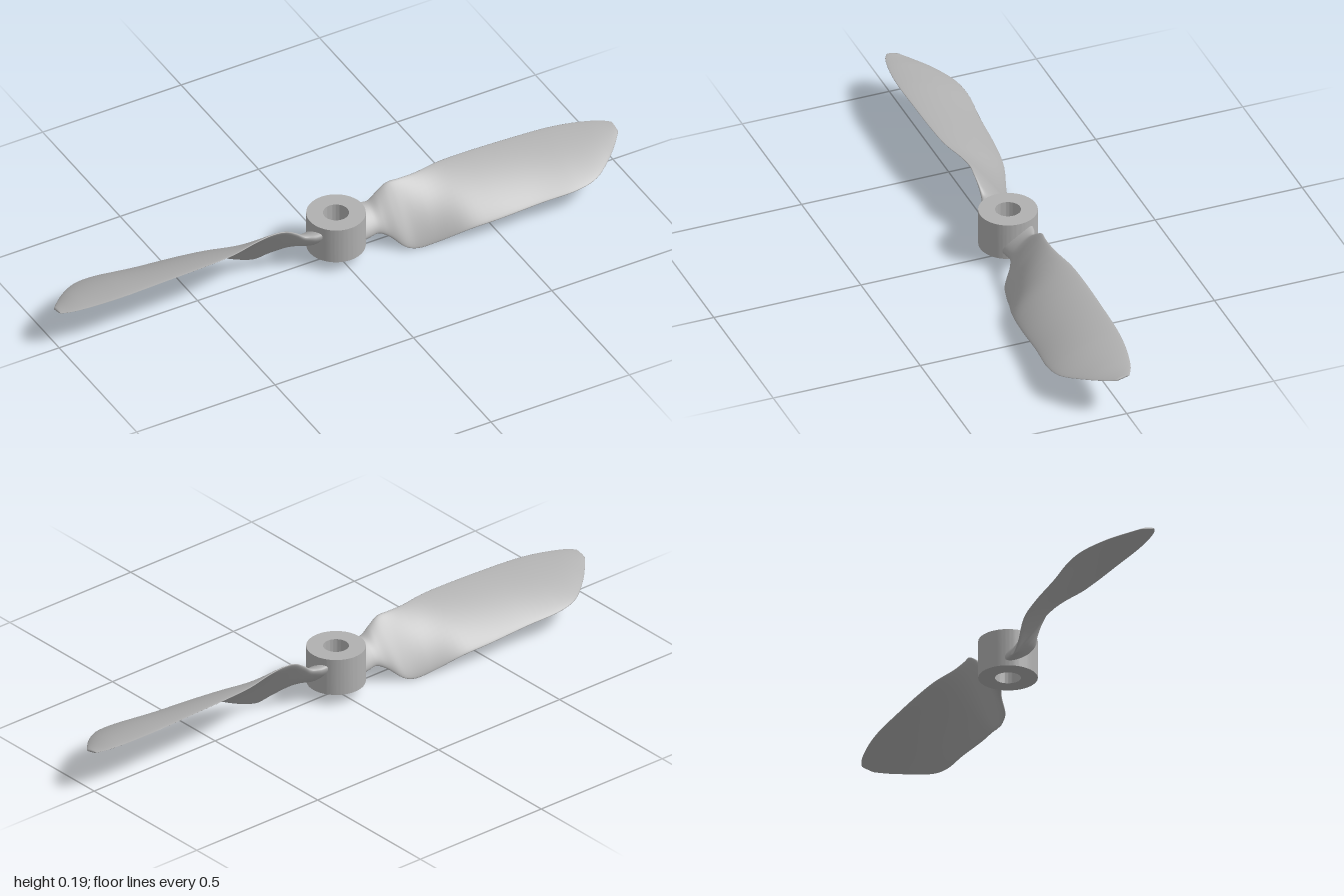
import * as THREE from 'three';
import { toCreasedNormals } from 'three/addons/utils/BufferGeometryUtils.js';

// Blade stations: x, back edge z y, front edge z y, half thickness, camber
const STATIONS = [
  [0.06, -0.052, 0.142, 0.052, 0.060, 0.026, 0],
  [0.10, -0.048, 0.137, 0.046, 0.062, 0.022, 0],
  [0.13, -0.036, 0.140, 0.044, 0.064, 0.017, 0],
  [0.16, -0.034, 0.163, 0.058, 0.050, 0.013, 0.001],
  [0.20, -0.036, 0.187, 0.092, 0.016, 0.010, 0.003],
  [0.24, -0.032, 0.190, 0.102, 0.003, 0.009, 0.006],
  [0.30, -0.036, 0.187, 0.117, 0.014, 0.008, 0.010],
  [0.40, -0.055, 0.183, 0.148, 0.048, 0.007, 0.013],
  [0.50, -0.060, 0.180, 0.161, 0.060, 0.007, 0.014],
  [0.65, -0.060, 0.175, 0.168, 0.073, 0.006, 0.014],
  [0.78, -0.058, 0.169, 0.178, 0.084, 0.006, 0.013],
  [0.85, -0.052, 0.164, 0.165, 0.094, 0.005, 0.011],
  [0.92, -0.040, 0.157, 0.118, 0.112, 0.005, 0.007],
  [0.97, -0.026, 0.151, 0.070, 0.125, 0.004, 0.003],
  [1.00, -0.010, 0.146, 0.035, 0.135, 0.003, 0.001],
];

// Lofts a cambered lens section along the two blade edges
function bladeGeometry() {
  const curve = (f) => new THREE.CatmullRomCurve3(STATIONS.map(f));
  const back = curve((s) => new THREE.Vector3(s[0], s[2], s[1]));
  const front = curve((s) => new THREE.Vector3(s[0], s[4], s[3]));
  const rows = (STATIONS.length - 1) * 5, ring = 36;
  const pos = [], index = [];
  for (let i = 0; i <= rows; i++) {
    const u = i / rows, k = u * (STATIONS.length - 1);
    const n = Math.min(Math.floor(k), STATIONS.length - 2);
    const mix = (c) => THREE.MathUtils.lerp(STATIONS[n][c], STATIONS[n + 1][c], k - n);
    const b = back.getPoint(u), chord = front.getPoint(u).sub(b);
    const up = new THREE.Vector3(0, chord.z, -chord.y).normalize();
    for (let j = 0; j < ring; j++) {
      const a = (j / ring) * Math.PI * 2, s = 0.5 - 0.5 * Math.cos(a);
      const lift = mix(5) * Math.sin(a) + mix(6) * 4 * s * (1 - s);
      const p = b.clone().addScaledVector(chord, s).addScaledVector(up, lift);
      pos.push(Math.min(p.x, 1), Math.max(p.y, 0), p.z);
      if (i < rows) {
        const j2 = (j + 1) % ring, r = i * ring, q = r + ring;
        index.push(r + j, r + j2, q + j, r + j2, q + j2, q + j);
      }
    }
  }
  // Tip cap
  for (let j = 1; j < ring - 1; j++) {
    index.push(rows * ring, rows * ring + j, rows * ring + j + 1);
  }
  const g = new THREE.BufferGeometry();
  g.setAttribute('position', new THREE.Float32BufferAttribute(pos, 3));
  g.setIndex(index);
  g.computeVertexNormals();
  return g;
}

// Short cylinder with a shaft hole
function hubGeometry() {
  const shape = new THREE.Shape().absarc(0, 0, 0.094, 0, Math.PI * 2, false);
  shape.holes.push(new THREE.Path().absarc(0, 0, 0.041, 0, Math.PI * 2, true));
  const g = new THREE.ExtrudeGeometry(shape, { depth: 0.126, bevelEnabled: false, curveSegments: 48 });
  g.rotateX(-Math.PI / 2).translate(0, 0.04, 0);
  return toCreasedNormals(g, 0.6);
}

export function createModel() {
  const group = new THREE.Group();
  group.name = 'propeller';
  const grey = new THREE.MeshStandardMaterial({ color: 0xb0b0b0 });
  grey.name = 'grey plastic';

  const hub = new THREE.Mesh(hubGeometry(), grey);
  hub.name = 'hub';
  group.add(hub);

  // Two identical blades, half a turn apart
  const geometry = bladeGeometry();
  ['leftBlade', 'rightBlade'].forEach((name, i) => {
    const blade = new THREE.Mesh(geometry, grey);
    blade.name = name;
    blade.rotation.y = i * Math.PI;
    group.add(blade);
  });
  return group;
}
